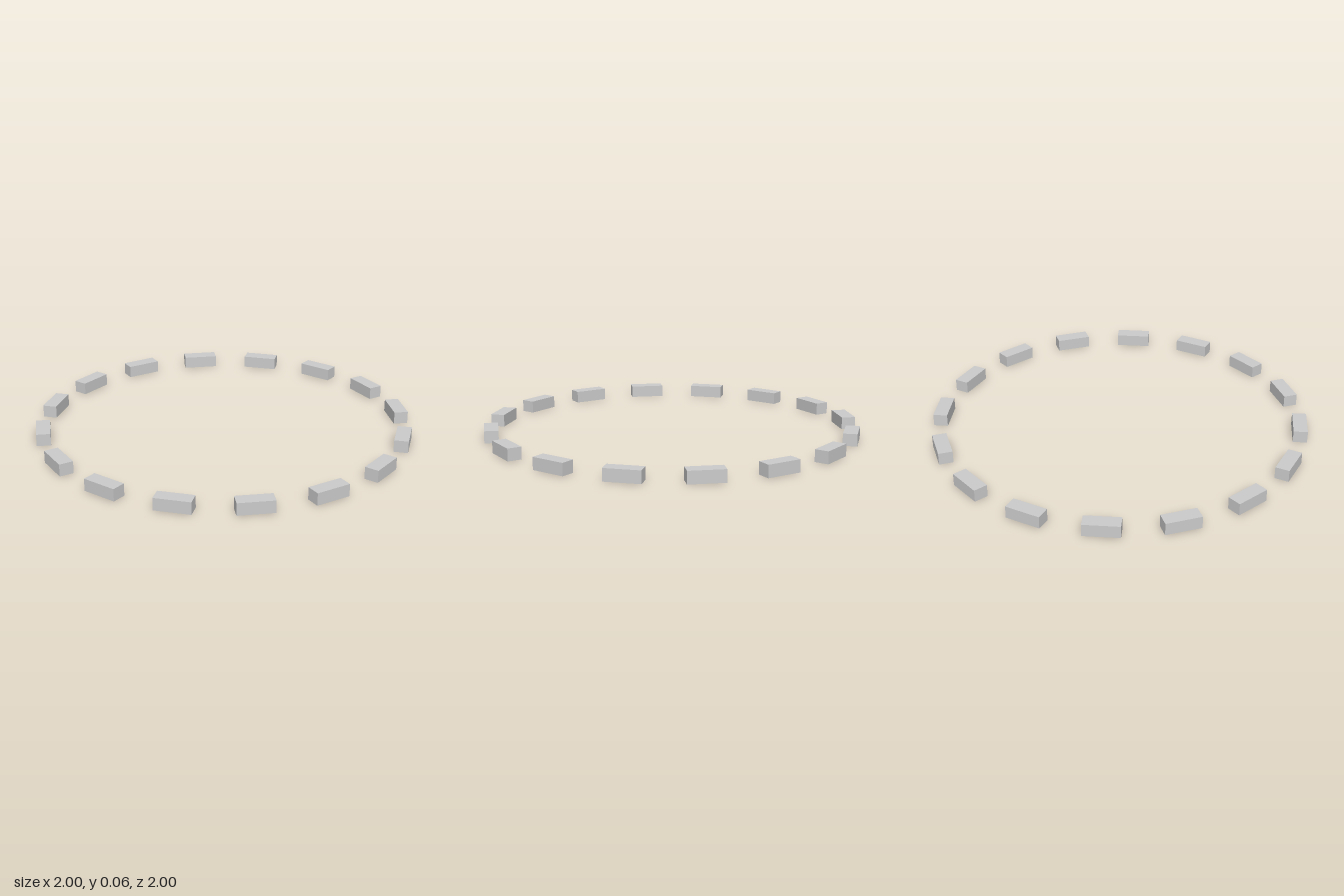
import * as THREE from 'three';

const COUNT = 16;
const RADIUS = 0.963;
const LENGTH = 0.187, HEIGHT = 0.065, DEPTH = 0.075;

export function createModel() {
  const model = new THREE.Group();
  model.name = 'blockRing';

  const material = new THREE.MeshStandardMaterial({ color: 0xcccccc, flatShading: true });
  const geometry = new THREE.BoxGeometry(LENGTH, HEIGHT, DEPTH);

  // Evenly spaced blocks, each lying tangent to the ring
  for (let i = 0; i < COUNT; i++) {
    const angle = ((i + 0.5) / COUNT) * Math.PI * 2;
    const block = new THREE.Mesh(geometry, material);
    block.name = `block${i + 1}`;
    block.position.set(Math.sin(angle) * RADIUS, HEIGHT / 2, Math.cos(angle) * RADIUS);
    block.rotation.y = angle;
    model.add(block);
  }
  return model;
}
